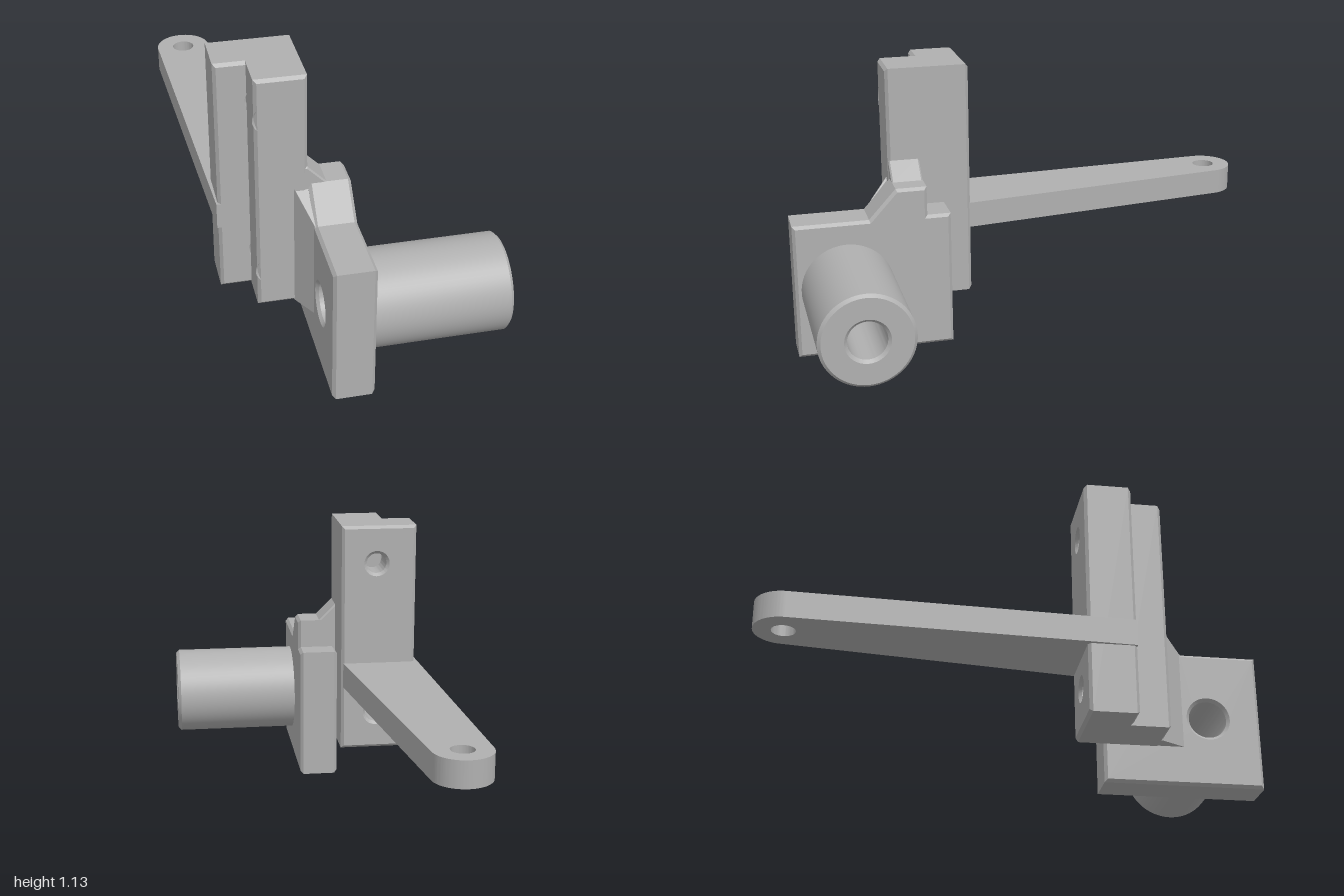
import * as THREE from 'three';
import { toCreasedNormals } from 'three/addons/utils/BufferGeometryUtils.js';

const CHAMFER = 0.012;
const metal = new THREE.MeshStandardMaterial({ color: 0xb0b0b0 });
metal.name = 'plain grey metal';

// Closed outline from corner points, with round holes given as [u, v, radius]
function outline(points, holes = []) {
  const shape = new THREE.Shape(points.map(([u, v]) => new THREE.Vector2(u, v)));
  return drill(shape, holes);
}

function drill(shape, holes) {
  for (const [u, v, r] of holes) {
    shape.holes.push(new THREE.Path().absarc(u, v, r, 0, Math.PI * 2, true));
  }
  return shape;
}

const rect = (x0, y0, x1, y1) => [[x0, y0], [x1, y0], [x1, y1], [x0, y1]];

// Extrusion running from start to end, chamfered inside its outline
function extrude(shape, start, end, chamfer = CHAMFER) {
  return new THREE.ExtrudeGeometry(shape, {
    depth: end - start - 2 * chamfer,
    bevelEnabled: chamfer > 0,
    bevelThickness: chamfer,
    bevelSize: chamfer,
    bevelOffset: -chamfer,
    bevelSegments: 1,
    curveSegments: 32,
  }).translate(0, 0, start + chamfer);
}

export function createModel() {
  const model = new THREE.Group();
  model.name = 'steering bracket';
  const add = (name, geometry) => {
    const mesh = new THREE.Mesh(toCreasedNormals(geometry, 0.5), metal);
    mesh.name = name;
    model.add(mesh);
  };

  // Stepped upright: wide rear slab and narrower front slab, bolt holes through both
  const bolts = [[-0.303, 0.97, 0.042], [-0.303, 0.315, 0.042]];
  add('uprightRear', extrude(outline(rect(-0.47, 0.155, -0.155, 1.13), bolts), 0.25, 0.44));
  add('uprightFront', extrude(outline(rect(-0.35, 0.155, -0.155, 1.13), bolts), 0.38, 0.588));

  // Sloped brace between upright and side plate
  add('brace', extrude(outline([
    [-0.22, 0.158], [-0.085, 0.158], [-0.085, 0.68], [-0.155, 0.75], [-0.22, 0.75],
  ]), 0.46, 0.586, 0.006));

  // Side plate, drawn in (-z, y) and turned to run along x
  const bore = [[-0.79, 0.283, 0.076]];
  const plate = outline([
    [-1, 0], [-0.365, 0], [-0.365, 0.56], [-0.46, 0.56],
    [-0.46, 0.68], [-0.585, 0.68], [-0.695, 0.56], [-1, 0.56],
  ], bore);
  add('sidePlate', extrude(plate, -0.153, 0.008).rotateY(Math.PI / 2));

  // Hollow round boss on the plate
  const ring = drill(new THREE.Shape().absarc(-0.79, 0.283, 0.186, 0, Math.PI * 2), bore);
  add('boss', extrude(ring, -0.06, 0.535).rotateY(Math.PI / 2));

  // Tapered gusset; its top follows the sloping shoulder of the plate
  const gusset = extrude(outline([
    [-0.21, -0.585], [-0.21, -0.57], [-0.13, -0.57], [-0.13, -0.69], [-0.15, -0.69],
  ].reverse()), 0.158, 0.67, 0).rotateX(-Math.PI / 2);
  const p = gusset.attributes.position;
  for (let i = 0; i < p.count; i++) {
    if (p.getY(i) > 0.4) p.setY(i, Math.min(0.672, 0.555 + (0.69 - p.getZ(i)) * 1.1));
  }
  add('gusset', gusset);

  // Long tapered arm with a rounded, drilled tip, drawn in (x, -z)
  const arm = new THREE.Shape();
  arm.moveTo(-0.476, -0.44);
  arm.lineTo(-0.165, -0.44);
  arm.lineTo(-0.163, -0.25);
  arm.absarc(-0.422, 0.885, 0.115, 0.12, Math.PI + 0.045, false);
  arm.closePath();
  add('arm', extrude(drill(arm, [[-0.422, 0.885, 0.046]]), 0.432, 0.538, 0).rotateX(-Math.PI / 2));

  return model;
}
